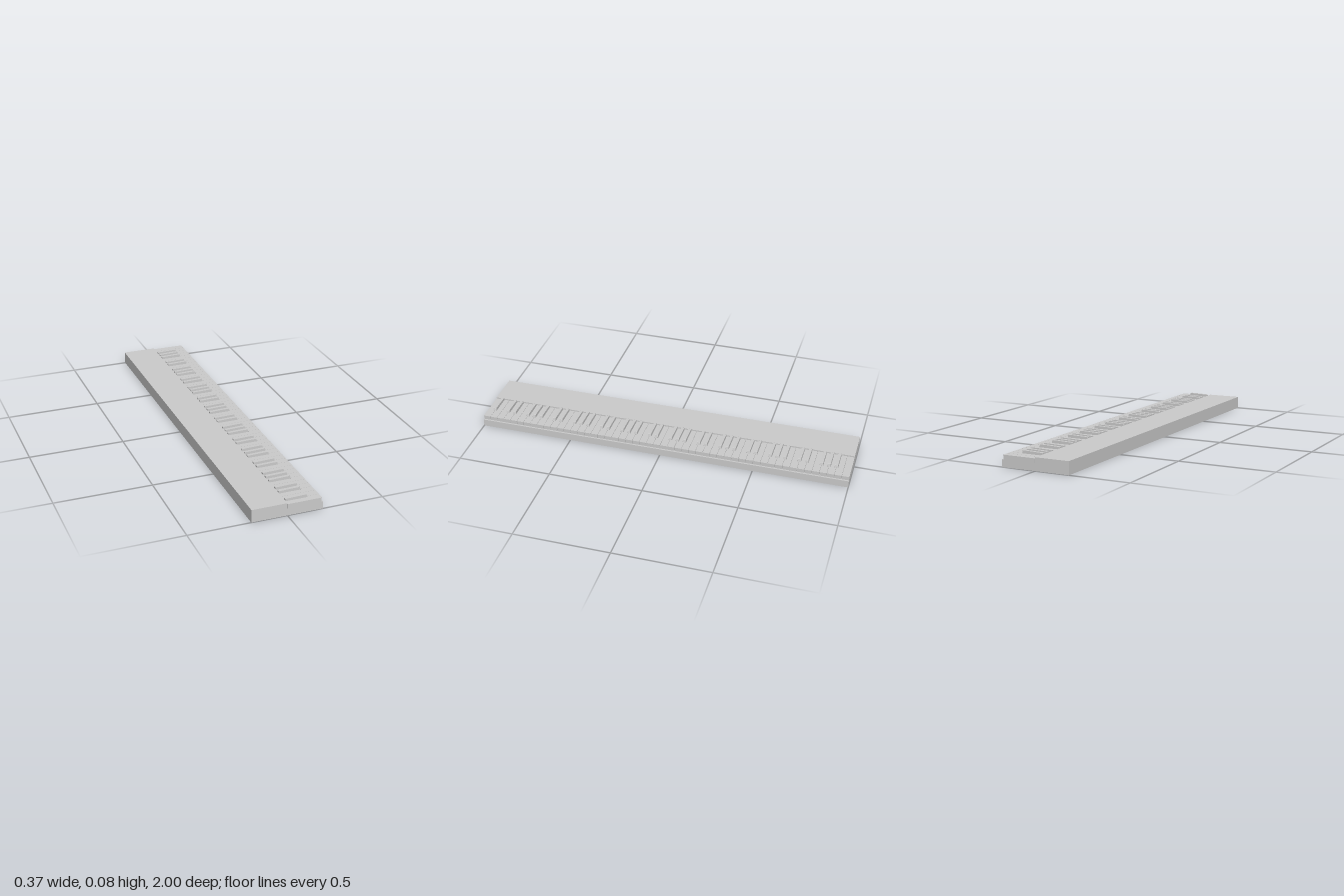
import * as THREE from 'three';

const material = new THREE.MeshStandardMaterial({ color: 0xcccccc, flatShading: true });

const WHITE_COUNT = 52;
const PITCH = 2 / WHITE_COUNT;
const GAP = 0.0008;          // half the slit between white keys
const SHARP_HALF = 0.008;    // half width of a raised key
const NOTCH_HALF = 0.0095;   // half width of the cut-out around it
const NOTCH_END = 0.116;
const BED_Y = 0.038;
const TOP_Y = 0.0608;

function add(group, geometry, name) {
  const mesh = new THREE.Mesh(geometry, material);
  mesh.name = name;
  group.add(mesh);
}

function extrude(points, depth) {
  const shape = new THREE.Shape(points.map(([x, y]) => new THREE.Vector2(x, y)));
  return new THREE.ExtrudeGeometry(shape, { depth, bevelEnabled: false });
}

// Pattern of seven white keys starting at A: is there a raised key after this one?
const sharpAfter = (i) =>
  i >= 0 && i < WHITE_COUNT - 1 && [true, false, true, true, false, true, true][i % 7];

// Plan outline of a white key, notched beside its raised neighbours
function whiteOutline(i, front) {
  const a = -1 + i * PITCH, b = a + PITCH;
  const low = a + (i === 0 ? 0 : GAP), high = b - (i === WHITE_COUNT - 1 ? 0 : GAP);
  const points = [];
  if (sharpAfter(i - 1)) points.push([0.001, a + NOTCH_HALF], [NOTCH_END, a + NOTCH_HALF], [NOTCH_END, low]);
  else points.push([0.001, low]);
  points.push([front, low], [front, high]);
  if (sharpAfter(i)) points.push([NOTCH_END, high], [NOTCH_END, b - NOTCH_HALF], [0.001, b - NOTCH_HALF]);
  else points.push([0.001, high]);
  return points;
}

export function createModel() {
  const model = new THREE.Group();
  model.name = 'keyboard';

  // Stepped case: high rear deck, low key bed
  const caseGeometry = extrude([
    [-0.183, 0], [0.183, 0], [0.183, BED_Y], [-0.001, BED_Y], [-0.001, 0.0665], [-0.183, 0.0665],
  ], 2);
  add(model, caseGeometry.translate(0, 0, -1), 'case');

  // White keys: a body with a thin overhanging top
  const whites = new THREE.Group();
  whites.name = 'whiteKeys';
  const lipY = TOP_Y - 0.003;
  for (let i = 0; i < WHITE_COUNT; i++) {
    const body = extrude(whiteOutline(i, 0.174), lipY - BED_Y);
    add(whites, body.rotateX(-Math.PI / 2).translate(0, BED_Y, 0), 'whiteKeyBody');
    const top = extrude(whiteOutline(i, 0.177), TOP_Y - lipY);
    add(whites, top.rotateX(-Math.PI / 2).translate(0, lipY, 0), 'whiteKeyTop');
  }
  model.add(whites);

  // Raised keys with a sloping front, in groups of two and three
  const blacks = new THREE.Group();
  blacks.name = 'blackKeys';
  const profile = [
    [0.001, BED_Y], [0.115, BED_Y], [0.115, TOP_Y], [0.1115, 0.0735],
    [0.11, 0.075], [0.08, 0.0747], [0.004, 0.0725], [0.001, 0.071],
  ];
  for (let i = 0; i < WHITE_COUNT; i++) {
    if (!sharpAfter(i)) continue;
    const z = 1 - (i + 1) * PITCH;
    add(blacks, extrude(profile, SHARP_HALF * 2).translate(0, 0, z - SHARP_HALF), 'blackKey');
  }
  model.add(blacks);

  return model;
}
